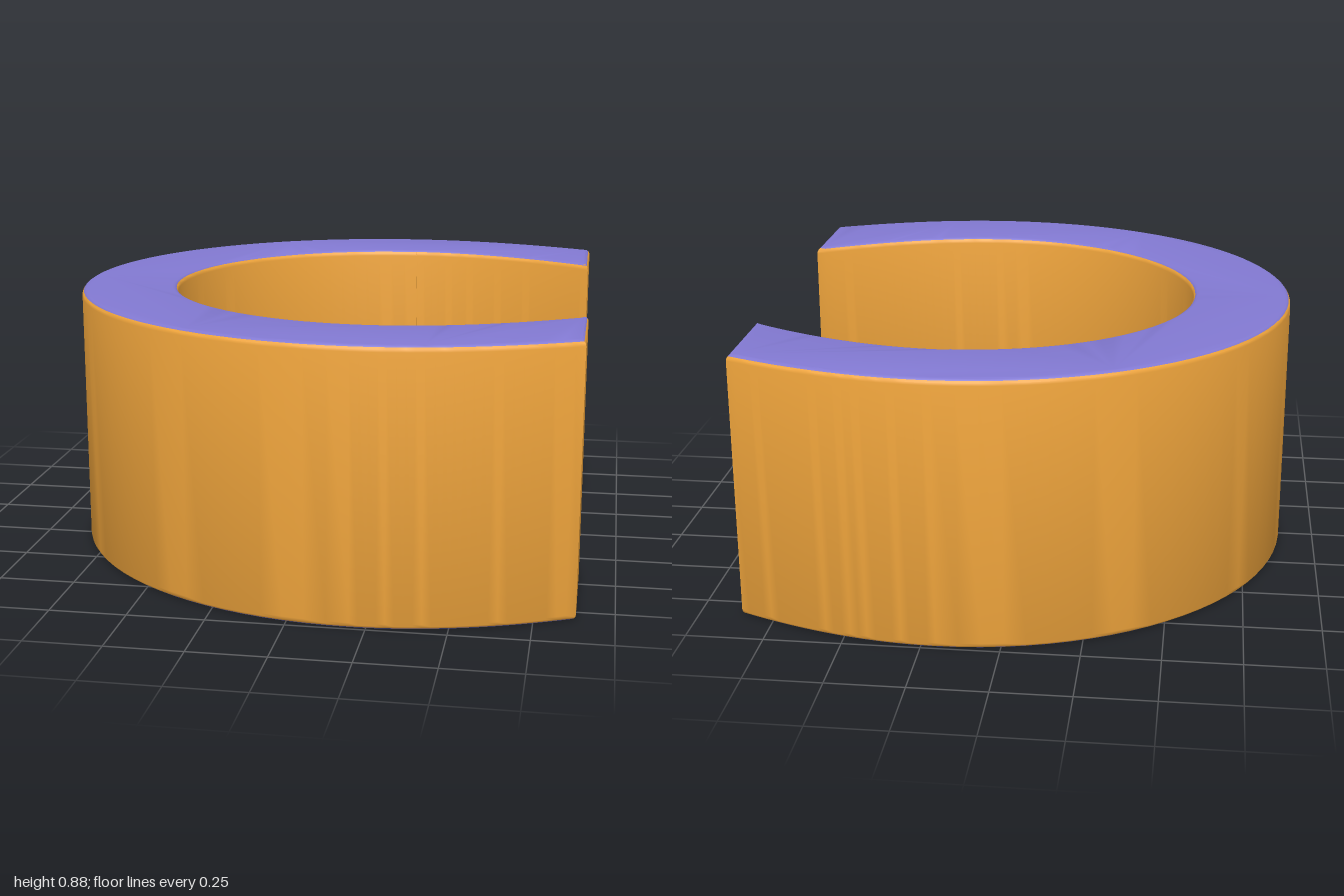
import * as THREE from 'three';
import { toCreasedNormals } from 'three/addons/utils/BufferGeometryUtils.js';

const HEIGHT = 0.885, BEVEL = 0.02;

// Plan of the open ring; shape y is -z
function ringPlan() {
  const s = new THREE.Shape();
  s.moveTo(0.88, -0.82);
  // outer edge, front end round to back end
  s.bezierCurveTo(0.64, -0.94, 0.42, -1, 0.2, -1);
  s.absellipse(0.2, 0, 1.08, 1, -Math.PI / 2, Math.PI / 2, true);
  s.bezierCurveTo(0.42, 1, 0.64, 0.94, 0.86, 0.84);
  // back end, then inner edge back to the front end
  s.lineTo(0.86, 0.485);
  s.bezierCurveTo(0.64, 0.62, 0.42, 0.7, 0.2, 0.7);
  s.absellipse(0.2, 0, 0.75, 0.695, Math.PI / 2, Math.PI * 1.5, false);
  s.bezierCurveTo(0.42, -0.695, 0.64, -0.61, 0.88, -0.46);
  s.closePath();
  return s;
}

// Keep only the triangles whose steepness passes the test
function pickFaces(geo, test) {
  const pos = geo.attributes.position, nor = geo.attributes.normal;
  const p = [], n = [];
  const v = [0, 1, 2].map(() => new THREE.Vector3());
  const face = new THREE.Vector3();
  for (let i = 0; i < pos.count; i += 3) {
    v.forEach((a, k) => a.fromBufferAttribute(pos, i + k));
    new THREE.Triangle(...v).getNormal(face);
    if (!test(Math.abs(face.y))) continue;
    for (let k = i; k < i + 3; k++) {
      p.push(pos.getX(k), pos.getY(k), pos.getZ(k));
      n.push(nor.getX(k), nor.getY(k), nor.getZ(k));
    }
  }
  const out = new THREE.BufferGeometry();
  out.setAttribute('position', new THREE.Float32BufferAttribute(p, 3));
  out.setAttribute('normal', new THREE.Float32BufferAttribute(n, 3));
  return out;
}

export function createModel() {
  const group = new THREE.Group();
  group.name = 'openRing';

  let geo = new THREE.ExtrudeGeometry(ringPlan(), {
    depth: HEIGHT - 2 * BEVEL, curveSegments: 24,
    bevelEnabled: true, bevelSize: BEVEL, bevelThickness: BEVEL,
    bevelOffset: -BEVEL, bevelSegments: 4,
  });
  geo.rotateX(-Math.PI / 2);
  geo.translate(0, BEVEL, 0);
  geo = toCreasedNormals(geo, 0.6);

  // Walls in orange; flat faces and the upper half of the rounded edge in violet
  const parts = [
    ['ringWall', 0xf0a53c, (ny) => ny < 0.7],
    ['ringFaces', 0x8279d2, (ny) => ny >= 0.7],
  ];
  for (const [name, color, test] of parts) {
    const mesh = new THREE.Mesh(pickFaces(geo, test), new THREE.MeshStandardMaterial({ color }));
    mesh.name = name;
    group.add(mesh);
  }
  return group;
}
